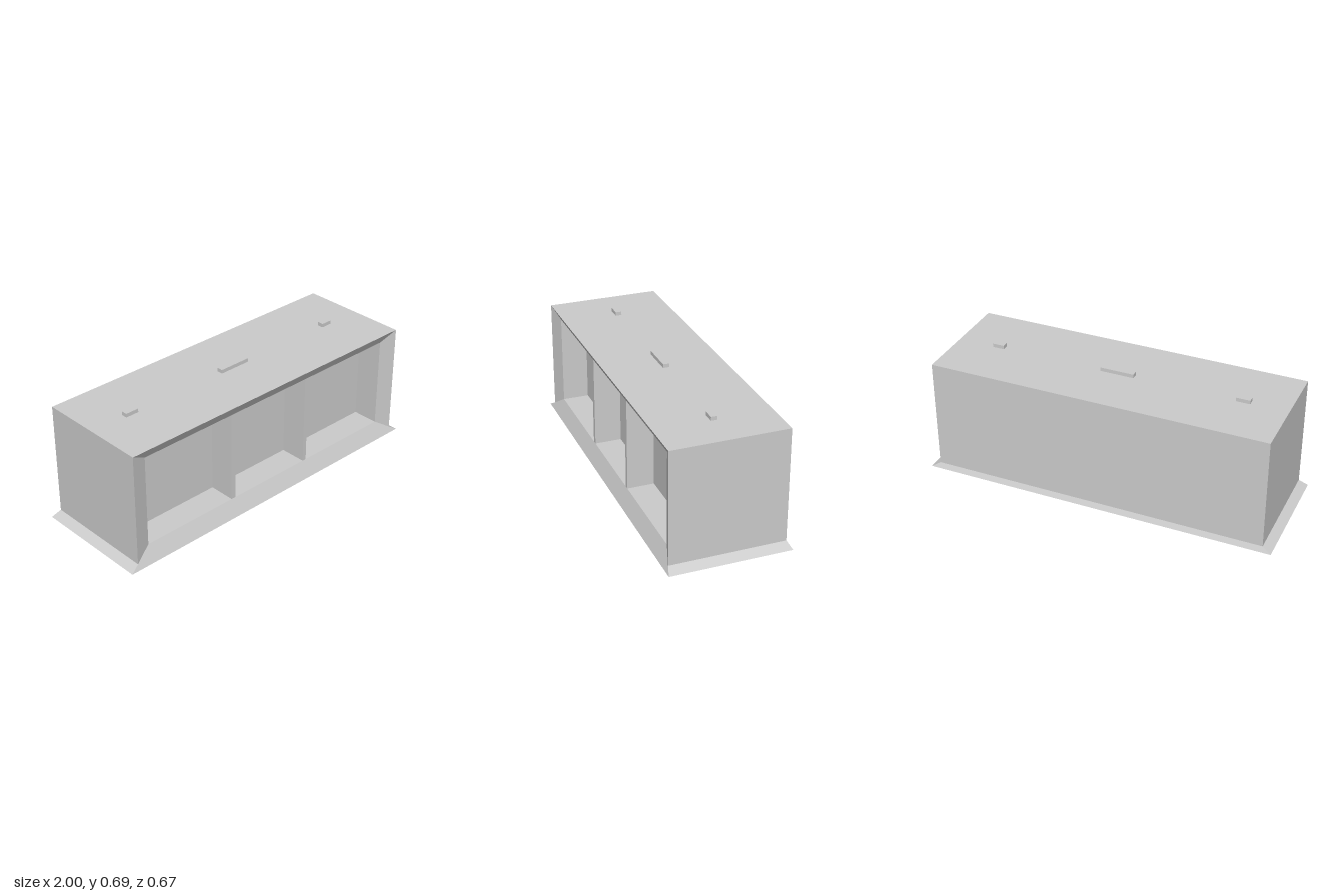
import * as THREE from 'three';

// Rectangle loops, anticlockwise seen from +y (flat) or from +z (upright)
const flat = (x, z, y) => [[-x, y, z], [x, y, z], [x, y, -z], [-x, y, -z]];
const upright = (x0, x1, y0, y1, z) => [[x0, y0, z], [x1, y0, z], [x1, y1, z], [x0, y1, z]];

// Flat-faced geometry from a list of four-cornered faces
function quads(faces) {
  const pos = [];
  for (const [a, b, c, d] of faces) pos.push(...a, ...b, ...c, ...a, ...c, ...d);
  const g = new THREE.BufferGeometry();
  g.setAttribute('position', new THREE.Float32BufferAttribute(pos, 3));
  g.computeVertexNormals();
  return g;
}

// Faces joining a lower/rear loop to an upper/nearer one, facing outwards
const band = (lo, hi, sides = [0, 1, 2, 3]) =>
  sides.map((i) => [lo[i], lo[(i + 1) % 4], hi[(i + 1) % 4], hi[i]]);

export function createModel() {
  const group = new THREE.Group();
  const grey = new THREE.MeshStandardMaterial({ color: 0xcccccc });
  const add = (name, geometry) => {
    const mesh = new THREE.Mesh(geometry, grey);
    mesh.name = name;
    group.add(mesh);
    return mesh;
  };

  const W = 0.95, D = 0.32, H = 0.666, base = 0.03;
  const rimZ = 0.29, bayZ = 0.14, y0 = 0.09, y1 = 0.609, inner = 0.855;

  // Flared skirt with a closed underside
  const foot = flat(1, 0.335, 0), sill = flat(W, D, base), top = flat(W, D, H);
  add('skirt', quads([...band(foot, sill), [...foot].reverse()]));

  // Side walls, back and top; the front stays open
  add('shell', quads([...band(sill, top, [1, 2, 3]), top]));

  // Bevelled rim sloping in from the front edges
  const outerRim = upright(-W, W, base, H, D);
  const innerRim = upright(-inner, inner, y0, y1, rimZ);
  add('frontRim', quads(band(outerRim, innerRim)));

  // Three recessed bays
  for (const [name, a, b] of [
    ['rightBay', -inner, -0.282],
    ['middleBay', -0.255, 0.255],
    ['leftBay', 0.279, inner],
  ]) {
    const back = upright(a, b, y0, y1, bayZ);
    add(name, quads([...band(upright(a, b, y0, y1, rimZ), back), back]));
  }

  // Narrow dividers between the bays
  add('rightDivider', quads([upright(-0.282, -0.255, y0, y1, rimZ)]));
  add('leftDivider', quads([upright(0.255, 0.279, y0, y1, rimZ)]));

  // Small raised blocks on the top
  for (const [name, a, b] of [
    ['rightTopBlock', -0.743, -0.666],
    ['middleTopBlock', -0.096, 0.093],
    ['leftTopBlock', 0.673, 0.739],
  ]) {
    add(name, new THREE.BoxGeometry(b - a, 0.022, 0.034)).position.set((a + b) / 2, H + 0.01, 0);
  }
  return group;
}
